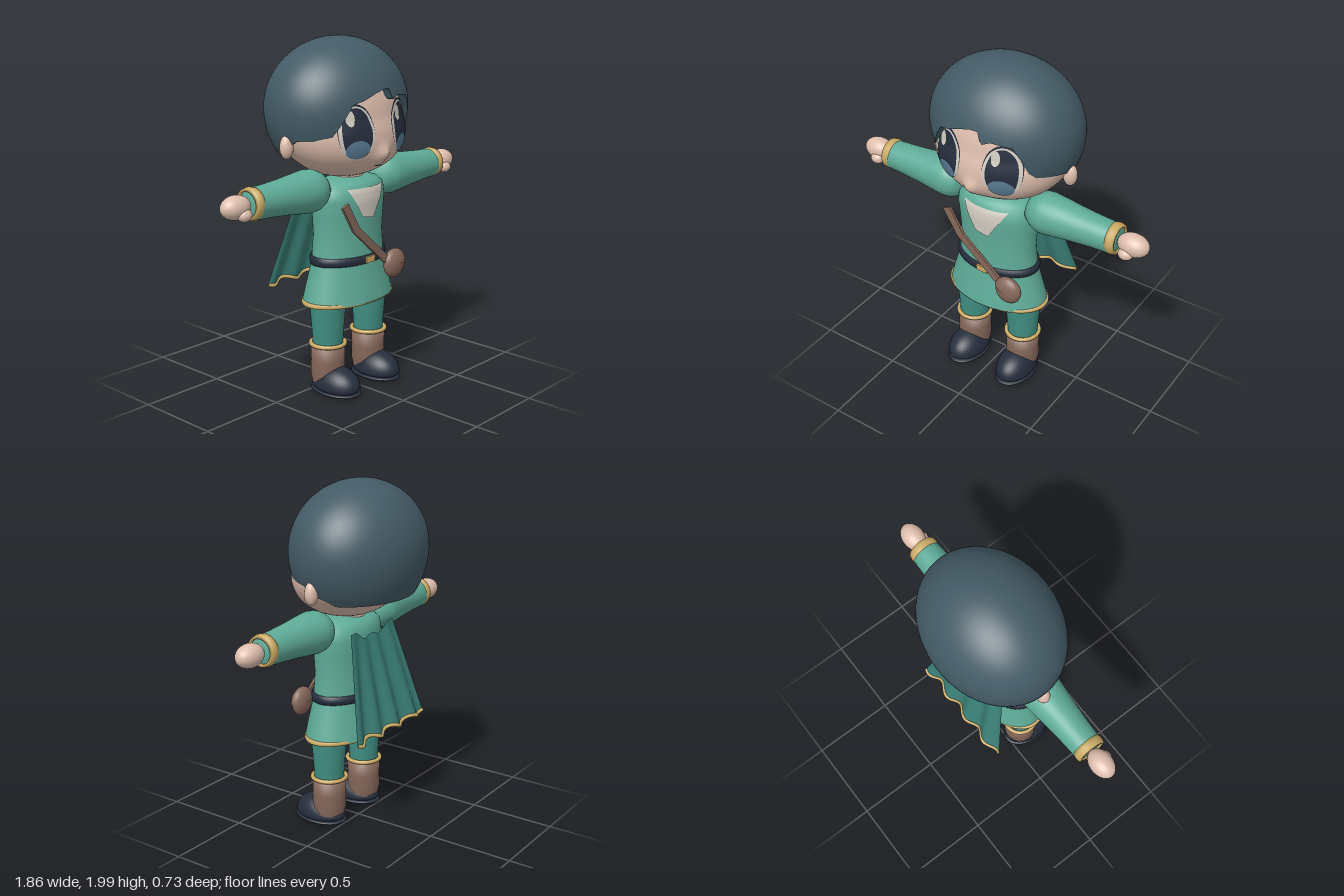
import * as THREE from 'three';

const mat = (name, color, side = THREE.FrontSide) =>
  Object.assign(new THREE.MeshStandardMaterial({ color, side }), { name });

export function createModel() {
  const M = {
    skin: mat('skin', 0xdfbfae),
    hair: mat('hair', 0x445b66, THREE.DoubleSide),
    tunic: mat('tunic green', 0x5fab98),
    legging: mat('legging teal', 0x419084),
    cape: mat('cape teal', 0x3a7f76, THREE.DoubleSide),
    gold: mat('gold trim', 0xcbab66),
    navy: mat('navy', 0x262e3d),
    brown: mat('leather brown', 0x86685b),
    cream: mat('cream', 0xd3cdc2),
    blue: mat('eye blue', 0x5b7d96),
  };
  const model = new THREE.Group();
  model.name = 'caped child';

  const add = (name, geo, material, x = 0, y = 0, z = 0) => {
    const m = new THREE.Mesh(geo, material);
    m.name = name;
    m.position.set(x, y, z);
    model.add(m);
    return m;
  };
  // Reshape every vertex of a geometry with fn(vector)
  const reshape = (geo, fn) => {
    const p = geo.attributes.position, v = new THREE.Vector3();
    for (let i = 0; i < p.count; i++) {
      fn(v.fromBufferAttribute(p, i));
      p.setXYZ(i, v.x, v.y, v.z);
    }
    geo.computeVertexNormals();
    return geo;
  };
  // Grid surface from fn(u, v) -> [x, y, z], with u and v running 0..1
  const surface = (nu, nv, fn) =>
    reshape(new THREE.PlaneGeometry(1, 1, nu, nv), p => p.set(...fn(p.x + 0.5, p.y + 0.5)));
  const ellipsoid = (rx, ry, rz) => new THREE.SphereGeometry(1, 32, 20).scale(rx, ry, rz);
  const lathe = (pts, zScale = 1, seg = 48) =>
    new THREE.LatheGeometry(pts.map(p => new THREE.Vector2(...p)), seg).scale(1, 1, zScale);
  // Piecewise linear lookup in [[key, value], ...]
  const lookup = (table, k) => {
    for (let i = 1; i < table.length; i++) {
      const [a, va] = table[i - 1], [b, vb] = table[i];
      if (k <= b) return va + (vb - va) * Math.max(0, (k - a) / (b - a));
    }
    return table[table.length - 1][1];
  };

  // ---- Head: two half ellipsoids with the chin pushed forward and a small nose
  const HY = 1.53, HX = 0.41, HZ = 0.325;
  const headShift = y => 0.06 * THREE.MathUtils.clamp((1.58 - y) / 0.25, 0, 1);
  const nose = (x, y) => 0.037 * Math.exp(-((x / 0.045) ** 2) - ((y - 1.38) / 0.05) ** 2);
  const faceZ = (x, y) => {
    const r = (y - HY) / (y > HY ? 0.44 : 0.295);
    return headShift(y) + HZ * Math.sqrt(Math.max(0, 1 - r * r - (x / HX) ** 2)) + nose(x, y);
  };
  add('head', surface(96, 64, (u, v) => {
    const a = (u - 0.5) * 2 * Math.PI, t = (1 - v) * Math.PI, c = Math.cos(t);
    const x = HX * Math.sin(t) * Math.sin(a), y = HY + c * (c > 0 ? 0.44 : 0.295);
    const z = headShift(y) + HZ * Math.sin(t) * Math.cos(a);
    return [x, y, z + (Math.cos(a) > 0 ? nose(x, y) : 0)];
  }), M.skin);

  // ---- Hair: a shell that ends at a hairline given by angle from the front
  const hairline = [[-180, 1.37], [-108, 1.37], [-100, 1.41], [-88, 1.43], [-75, 1.475], [-46, 1.485],
    [-38, 1.56], [-28, 1.67], [-20, 1.685], [-8, 1.72], [0, 1.735], [7, 1.735], [8.5, 1.67], [16, 1.695],
    [32, 1.68], [38, 1.61], [44, 1.53], [50, 1.495], [78, 1.475], [90, 1.42], [100, 1.4], [108, 1.37], [180, 1.37]];
  const ROWS = 30;
  add('hair', surface(180, ROWS, (u, v) => {
    const deg = (u - 0.5) * 360, a = deg * Math.PI / 180, row = Math.round((1 - v) * ROWS);
    const d = lookup(hairline, deg) - 1.62;
    const end = Math.acos(d / (d > 0 ? 0.38 : 0.43));
    const t = end * Math.min(1, row / (ROWS - 2));
    const c = Math.cos(t), r = Math.sin(t) * (row === ROWS ? 0.75 : 1); // last row tucks inward
    return [0.445 * r * Math.sin(a), 1.62 + c * (c > 0 ? 0.38 : 0.43), 0.355 * r * Math.cos(a) - 0.005];
  }), M.hair);

  // ---- Face details: thin plates laid on the face
  const facePlate = (name, material, x, y, rx, ry, lift) =>
    add(name, reshape(new THREE.RingGeometry(0, 1, 40, 6), p => {
      p.x = x + p.x * rx;
      p.y = y + p.y * ry;
      p.z = faceZ(p.x, p.y) + lift;
    }), material);
  for (const s of [-1, 1]) {
    const x = s * 0.174;
    facePlate('lash', M.navy, x, 1.524, 0.104, 0.145, 0.002);
    facePlate('eyeWhite', M.cream, x, 1.515, 0.101, 0.142, 0.004);
    facePlate('iris', M.navy, x, 1.513, 0.084, 0.136, 0.006);
    facePlate('irisGlow', M.blue, x, 1.428, 0.066, 0.05, 0.008);
    facePlate('eyeHighlight', M.cream, x - 0.035, 1.595, 0.024, 0.042, 0.008);
    add('ear', ellipsoid(0.04, 0.065, 0.036), M.skin, s * 0.412, 1.44, 0.015);
  }
  facePlate('mouth', M.navy, 0, 1.322, 0.032, 0.006, 0.004);

  // ---- Torso and skirt
  const BZ = 0.08, FLAT = 0.64;
  const torso = [[0.31, 0.545], [0.285, 0.64], [0.255, 0.74], [0.245, 0.8], [0.235, 0.92], [0.243, 1.04],
    [0.25, 1.12], [0.24, 1.18], [0.2, 1.215], [0.12, 1.24], [0, 1.245]];
  add('tunic', lathe(torso, FLAT), M.tunic, 0, 0, BZ);
  add('neck', new THREE.CylinderGeometry(0.09, 0.09, 0.12, 32), M.skin, 0, 1.24, 0.07);
  add('tunicHem', lathe([[0, 0.54], [0.3, 0.533], [0.318, 0.535], [0.322, 0.545], [0.318, 0.557], [0.3, 0.56]], FLAT - 0.04),
    M.gold, 0, 0, BZ);
  add('belt', lathe([[0.24, 0.757], [0.256, 0.76], [0.262, 0.782], [0.256, 0.805], [0.24, 0.808]], FLAT), M.navy, 0, 0, BZ);
  add('buckle', new THREE.BoxGeometry(0.07, 0.036, 0.014), M.gold, 0, 0.783, BZ + 0.262 * FLAT);

  // Neck opening panel, following the chest
  const radiusAt = torso.map(([r, y]) => [y, r]);
  add('collarPanel', surface(16, 10, (u, v) => {
    const x = THREE.MathUtils.lerp(-0.05 + 0.085 * u, -0.142 + 0.287 * u, v);
    const y = THREE.MathUtils.lerp(1.03 - 0.015 * u, 1.19, v), r = lookup(radiusAt, y);
    return [x, y, BZ + FLAT * Math.sqrt(Math.max(0, r * r - x * x)) + 0.006];
  }), M.cream);

  // ---- Arms
  const sleeve = [[0, 0.2], [0.075, 0.22], [0.098, 0.25], [0.115, 0.29], [0.119, 0.33], [0.112, 0.4], [0.1, 0.5],
    [0.09, 0.62], [0.085, 0.72], [0.08, 0.752], [0, 0.752]];
  const cuff = [[0.068, 0.708], [0.084, 0.712], [0.089, 0.735], [0.084, 0.76], [0.068, 0.764], [0.068, 0.74]];
  for (const s of [-1, 1]) {
    add('sleeve', lathe(sleeve).rotateZ(-s * Math.PI / 2), M.tunic, 0, 1.197, BZ);
    add('cuff', lathe(cuff).rotateZ(-s * Math.PI / 2), M.gold, 0, 1.2, BZ);
    add('hand', ellipsoid(0.09, 0.064, 0.064), M.skin, s * 0.842, 1.2, BZ);
    add('thumb', ellipsoid(0.042, 0.034, 0.036), M.skin, s * 0.822, 1.163, BZ + 0.045);
  }

  // ---- Legs, boots and shoes
  for (const s of [-1, 1]) {
    const x = s * 0.172, z = 0.086;
    add('legging', lathe([[0.088, 0.28], [0.093, 0.36], [0.104, 0.5], [0.108, 0.6]], 0.92), M.legging, x, 0, z);
    add('boot', lathe([[0.085, 0.05], [0.1, 0.12], [0.098, 0.2], [0.1, 0.3], [0, 0.3]], 0.95), M.brown, x, 0, z);
    add('bootTrim', new THREE.TorusGeometry(0.097, 0.012, 10, 40).rotateX(Math.PI / 2), M.gold, x, 0.298, z);
    // The shoe is tall over the toes and low at the heel
    add('shoe', reshape(new THREE.SphereGeometry(1, 36, 24), p => {
      const k = THREE.MathUtils.smoothstep(p.z, -1, 0.1);
      p.set(p.x * 0.108, p.y > 0 ? p.y * (0.05 + 0.06 * k) : p.y * 0.05, p.z * 0.158);
    }), M.navy, x, 0.064, 0.148);
    add('sole', ellipsoid(0.112, 0.022, 0.165), M.navy, x, 0.032, 0.147);
  }

  // ---- Cape with folds that deepen toward the hem
  const cape = (u, v) => {
    const k = 1 - v, w = u * 2 - 1;
    const top = 1.195 - 0.06 * (1 - w * w) + 0.012 * Math.cos(w * 9);
    const y = THREE.MathUtils.lerp(0.612 + 0.012 * Math.cos(w * 11), top, v);
    return [w * (0.205 + 0.14 * k), y, -0.09 - 0.135 * k + (0.004 + 0.014 * k) * Math.sin(w * 12)];
  };
  add('cape', surface(64, 20, cape), M.cape);
  const hem = Array.from({ length: 41 }, (_, i) => new THREE.Vector3(...cape(i / 40, 0)));
  add('capeHem', new THREE.TubeGeometry(new THREE.CatmullRomCurve3(hem), 100, 0.011, 8), M.gold);

  // ---- Shoulder strap and pouch
  const strap = new THREE.Shape([[-0.245, 1.115], [-0.155, 0.965], [0.13, 0.72], [0.17, 0.745], [-0.11, 0.985], [-0.2, 1.135]]
    .map(p => new THREE.Vector2(...p)));
  add('strap', new THREE.ExtrudeGeometry(strap, { depth: 0.016, bevelEnabled: false }), M.brown, 0, 0, 0.252);
  add('pouch', ellipsoid(0.08, 0.083, 0.04), M.brown, 0.187, 0.722, 0.265);
  const flap = new THREE.SphereGeometry(1, 32, 12, 0, Math.PI * 2, 0, Math.PI * 0.48).scale(0.084, 0.086, 0.045);
  add('pouchFlap', flap.rotateZ(-0.15), M.brown, 0.187, 0.722, 0.265);

  return model;
}
